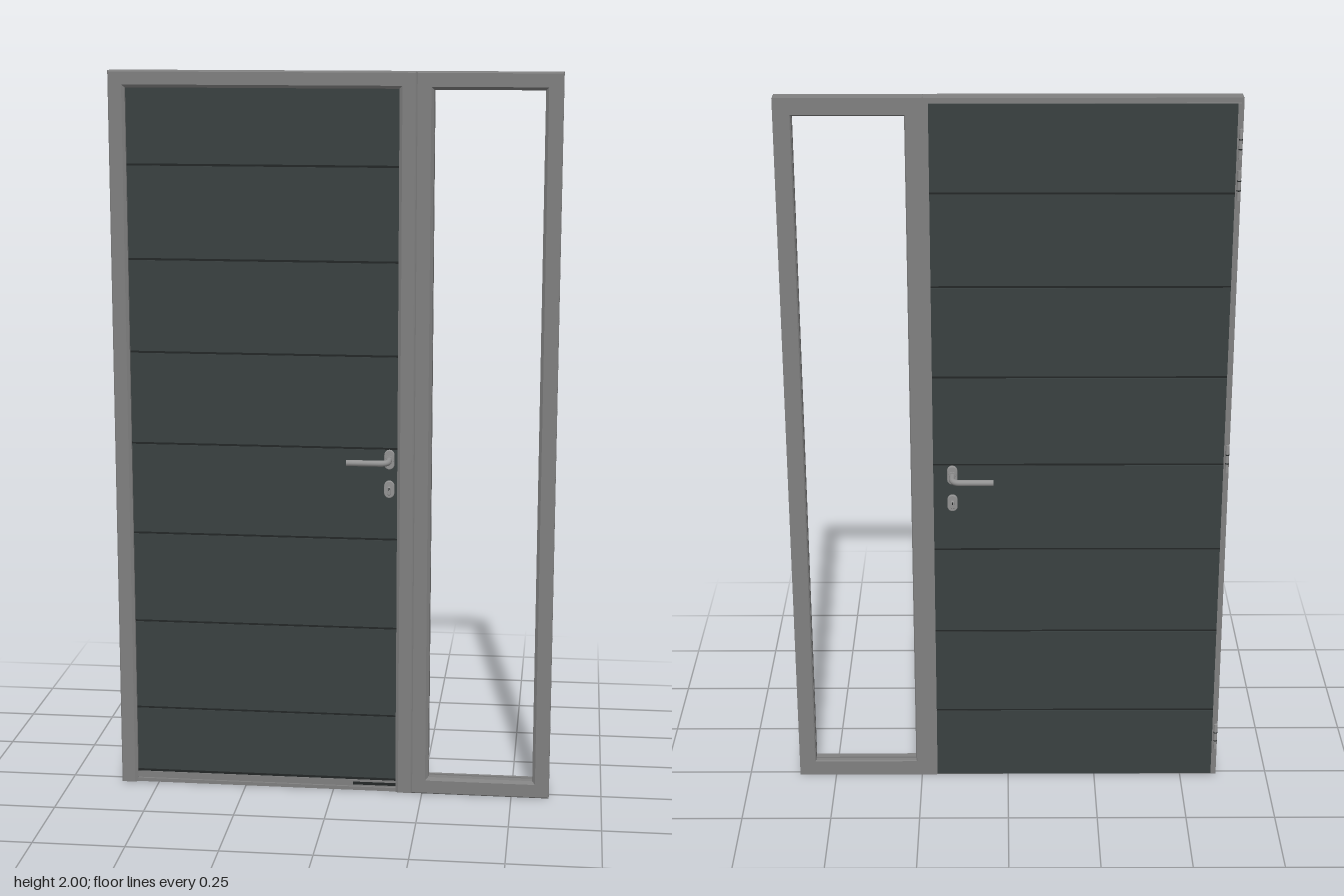
import * as THREE from 'three';

const mat = (name, color) => Object.assign(new THREE.MeshStandardMaterial({ color }), { name });
const frameGrey = mat('frame grey', 0x808080);
const leafDark = mat('leaf anthracite', 0x3a4141);
const grooveDark = mat('groove black', 0x232727);
const metal = mat('satin metal', 0x929292);

function add(parent, name, geometry, material, x = 0, y = 0, z = 0) {
  const m = new THREE.Mesh(geometry, material);
  m.name = name;
  m.position.set(x, y, z);
  parent.add(m);
  return m;
}

// Box given by its limits on each axis
function block(parent, name, material, [x0, x1], [y0, y1], [z0, z1]) {
  return add(parent, name, new THREE.BoxGeometry(x1 - x0, y1 - y0, z1 - z0), material,
    (x0 + x1) / 2, (y0 + y1) / 2, (z0 + z1) / 2);
}

// Sweeps an (inset, z) profile along clockwise corners with mitred joints
function mitredFrame(profile, corners, closed) {
  const n = corners.length;
  const pts = corners.map((c) => new THREE.Vector2(...c));
  const inward = (a, b) => {
    const d = b.clone().sub(a).normalize();
    return new THREE.Vector2(d.y, -d.x);
  };
  const rings = pts.map((p, k) => {
    const m = new THREE.Vector2();
    if (closed || k > 0) m.add(inward(pts[(k + n - 1) % n], p));
    if (closed || k < n - 1) m.add(inward(p, pts[(k + 1) % n]));
    return profile.map(([t, z]) => [p.x + m.x * t, p.y + m.y * t, z]);
  });
  const pos = [];
  const tri = (...v) => v.forEach((p) => pos.push(...p));
  for (let k = 0; k < (closed ? n : n - 1); k++) {
    const b = rings[k], a = rings[(k + 1) % n];
    for (let i = 0; i < profile.length; i++) {
      const j = (i + 1) % profile.length;
      tri(a[i], a[j], b[j]);
      tri(a[i], b[j], b[i]);
    }
  }
  if (!closed) {
    const faces = THREE.ShapeUtils.triangulateShape(profile.map((p) => new THREE.Vector2(...p)), []);
    for (const [i, j, k] of faces) {
      tri(rings[0][i], rings[0][j], rings[0][k]);
      tri(rings[n - 1][i], rings[n - 1][k], rings[n - 1][j]);
    }
  }
  const g = new THREE.BufferGeometry();
  g.setAttribute('position', new THREE.Float32BufferAttribute(pos, 3));
  g.computeVertexNormals();
  return g;
}

// Upright rounded plate, facing +z
function ovalPlate(w, h, depth) {
  const r = w / 2, s = h / 2 - r;
  const shape = new THREE.Shape();
  shape.absarc(0, s, r, 0, Math.PI);
  shape.absarc(0, -s, r, Math.PI, Math.PI * 2);
  const bevel = 0.002;
  return new THREE.ExtrudeGeometry(shape, {
    depth: depth - bevel, bevelEnabled: true, bevelThickness: bevel, bevelSize: bevel,
    bevelOffset: -bevel, bevelSegments: 2, curveSegments: 12,
  });
}

// Lever, rosettes and lock for one side; z = 0 is the leaf face
function handleSet(name, reach) {
  const g = new THREE.Group();
  g.name = name;
  const v = (x, z) => new THREE.Vector3(x, 0.956, z);
  const x = 0.153, bend = 0.024, r = 0.0085;
  const path = new THREE.CurvePath();
  path.add(new THREE.LineCurve3(v(x, 0), v(x, reach - bend)));
  path.add(new THREE.QuadraticBezierCurve3(v(x, reach - bend), v(x, reach), v(x - bend, reach)));
  path.add(new THREE.LineCurve3(v(x - bend, reach), v(0.04, reach)));
  add(g, 'lever', new THREE.TubeGeometry(path, 40, r, 12), metal);
  add(g, 'leverEnd', new THREE.CircleGeometry(r, 12), metal, 0.04, 0.956, reach).rotation.y = -Math.PI / 2;
  add(g, 'leverRosette', ovalPlate(0.028, 0.054, 0.008), metal, x, 0.956, 0);
  const collar = add(g, 'leverCollar', new THREE.CylinderGeometry(0.012, 0.012, 0.014, 16), metal, x, 0.956, 0.007);
  collar.rotation.x = Math.PI / 2;
  add(g, 'keyRosette', ovalPlate(0.028, 0.048, 0.008), metal, x, 0.873, 0);
  add(g, 'lockCylinder', ovalPlate(0.011, 0.024, 0.015), metal, x, 0.87, 0);
  block(g, 'keySlot', grooveDark, [x - 0.001, x + 0.001], [0.871, 0.879], [0.014, 0.0153]);
  return g;
}

export function createModel() {
  const model = new THREE.Group();
  model.name = 'doorWithSidelight';

  // Outer frame: grooved outer edge shared by the door frame and the sidelight
  const outerEdge = [[0.003, 0.033], [0, 0.031], [0, 0.027], [0.004, 0.025], [0.004, 0.021],
    [0, 0.019], [0, 0.002], [0.005, 0], [0.005, -0.006], [0, -0.008]];
  const doorProfile = [[0, -0.015], [0.025, -0.015], [0.025, 0.0195], [0.045, 0.0195],
    [0.045, 0.027], [0.037, 0.033], ...outerEdge];
  const sideProfile = [[0, -0.015], [0.044, -0.015], [0.047, -0.012], [0.047, -0.002], [0.041, -0.002],
    [0.041, 0.006], [0.047, 0.006], [0.047, 0.025], [0.039, 0.033], ...outerEdge];
  const L = -0.605, M = 0.22, R = 0.605;
  add(model, 'doorFrame', mitredFrame(doorProfile, [[L, 0], [L, 2], [M, 2], [M, 0]], false), frameGrey);
  add(model, 'sidelightFrame', mitredFrame(sideProfile, [[M, 0], [M, 2], [R, 2], [R, 0]], true), frameGrey);
  add(model, 'sidelightGasket', mitredFrame([[0.04, -0.002], [0.042, -0.002], [0.042, 0.006], [0.04, 0.006]],
    [[M, 0], [M, 2], [R, 2], [R, 0]], true), grooveDark);

  // Threshold and the weather bar at the foot of the leaf
  block(model, 'threshold', frameGrey, [-0.58, 0.195], [0, 0.01], [-0.013, 0.026]);
  block(model, 'weatherBar', frameGrey, [-0.56, 0.18], [0.012, 0.03], [0.015, 0.024]);
  block(model, 'weatherSeal', grooveDark, [-0.56, 0.18], [0.03, 0.036], [0.015, 0.021]);
  block(model, 'thresholdPlate', grooveDark, [0.055, 0.18], [0.016, 0.024], [0.02, 0.0255]);

  // Door leaf: core, overlapping back flange and planked skins
  const leaf = new THREE.Group();
  leaf.name = 'doorLeaf';
  model.add(leaf);
  block(leaf, 'leafCore', leafDark, [-0.575, 0.194], [0.011, 1.972], [-0.016, 0.016]);
  block(leaf, 'leafFlange', frameGrey, [-0.598, 0.205], [0.008, 1.987], [-0.022, -0.0152]);
  const skins = [
    { side: 'front', x: [-0.575, 0.194], y: [0.011, 1.972], z: [0.016, 0.019], groove: [0.0155, 0.0165] },
    { side: 'back', x: [-0.589, 0.205], y: [0.008, 1.987], z: [-0.025, -0.022], groove: [-0.0225, -0.0215] },
  ];
  const gap = 0.003;
  for (const s of skins) {
    let bottom = s.y[0];
    for (let i = 0; i < 8; i++) {
      const joint = 0.22 + i * 0.255;
      block(leaf, s.side + 'Plank', leafDark, s.x, [bottom, i < 7 ? joint - gap : s.y[1]], s.z);
      if (i < 7) block(leaf, s.side + 'Groove', grooveDark, s.x, [joint - gap, joint + gap], s.groove);
      bottom = joint + gap;
    }
  }

  // Hinges on the back edge
  for (const y of [0.13, 1.0, 1.77, 1.88]) {
    add(model, 'hingeBarrel', new THREE.CylinderGeometry(0.005, 0.005, 0.08, 12), metal, -0.599, y, -0.023);
    for (const e of [-0.013, 0.013]) {
      add(model, 'hingeRing', new THREE.CylinderGeometry(0.0054, 0.0054, 0.003, 12), grooveDark, -0.599, y + e, -0.023);
    }
  }

  // Handles, the back set mirrored through the leaf
  const front = handleSet('frontHandle', 0.057);
  front.position.z = 0.019;
  const back = handleSet('backHandle', 0.058);
  back.position.z = -0.025;
  back.scale.z = -1;
  model.add(front, back);
  return model;
}
